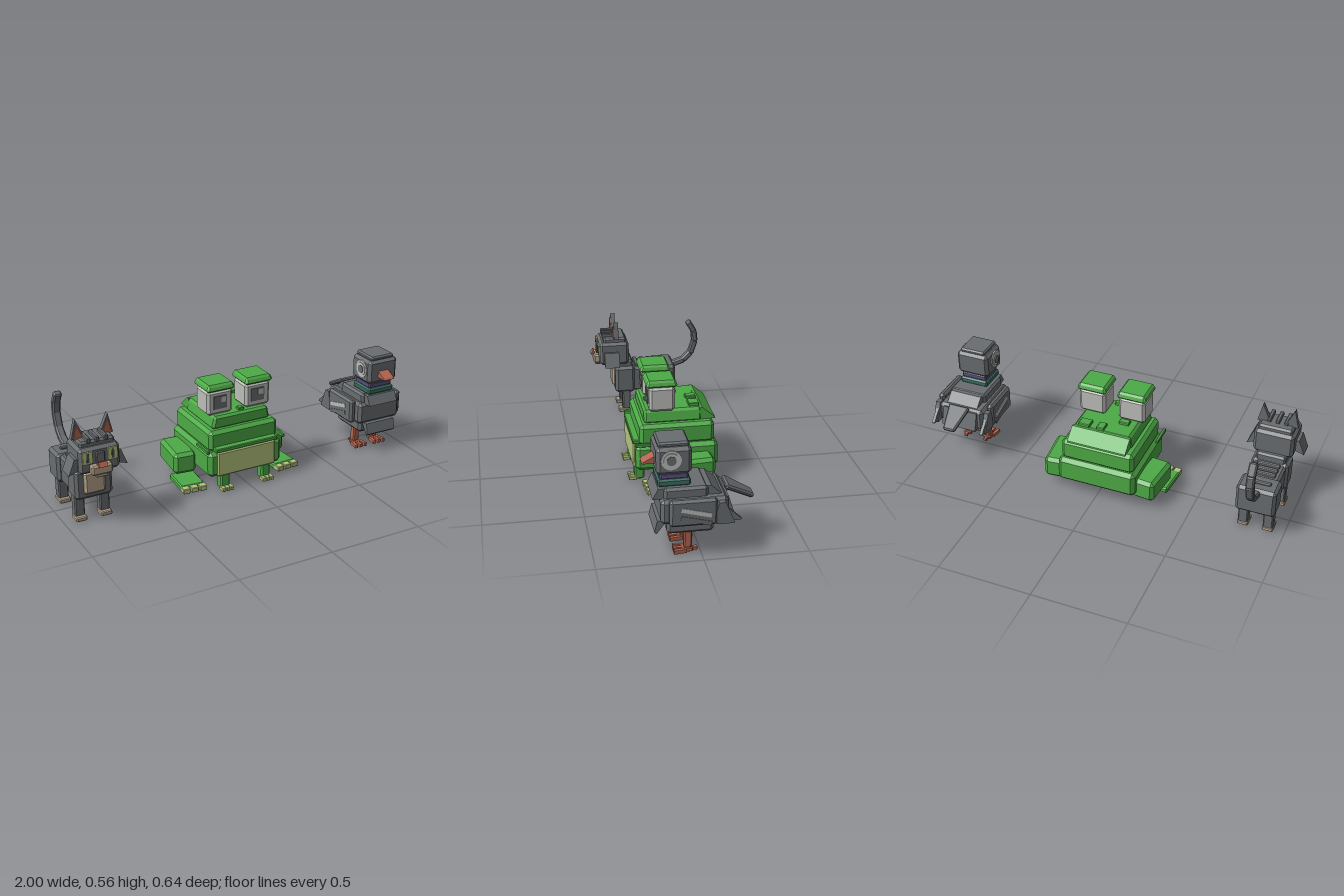
import * as THREE from 'three';
import { ConvexGeometry } from 'three/addons/geometries/ConvexGeometry.js';

const paint = (name, color) => Object.assign(new THREE.MeshStandardMaterial({ color }), { name });
const gray = paint('slate gray', 0x696d70);
const dark = paint('charcoal', 0x4a4d50);
const green = paint('leaf green', 0x4daa46);
const lime = paint('pale lime', 0xb6c67e);
const beige = paint('beige', 0xb8a48c);
const rust = paint('rust', 0xb4654f);
const white = paint('off white', 0xbdbdb9);
const purple = paint('purple', 0x5c5080);
const teal = paint('teal', 0x3b6d60);

const V = (x, y, z) => new THREE.Vector3(x, y, z);

function add(parent, name, mat, geo) {
  const mesh = new THREE.Mesh(geo, mat);
  mesh.name = name;
  parent.add(mesh);
  return mesh;
}

// Chamfered box centred on its own origin; the top can be narrowed by tx and tz
function chamferBox(w, h, d, c, tx = 0, tz = 0) {
  c = Math.min(c, w / 3, h / 3, d / 3);
  const pts = [];
  for (const sx of [-1, 1]) for (const sy of [-1, 1]) for (const sz of [-1, 1]) {
    const ax = w / 2 - (sy > 0 ? tx : 0), ay = h / 2, az = d / 2 - (sy > 0 ? tz : 0);
    pts.push(V(sx * ax, sy * (ay - c), sz * (az - c)),
      V(sx * (ax - c), sy * ay, sz * (az - c)),
      V(sx * (ax - c), sy * (ay - c), sz * az));
  }
  return new ConvexGeometry(pts);
}

// Block given by its ranges on the three axes
function block(parent, name, mat, [x0, x1], [y0, y1], [z0, z1], c = 0.01, tx = 0, tz = 0) {
  const m = add(parent, name, mat, chamferBox(x1 - x0, y1 - y0, z1 - z0, c, tx, tz));
  m.position.set((x0 + x1) / 2, (y0 + y1) / 2, (z0 + z1) / 2);
  return m;
}

// Prism with a convex (z, y) outline, spanning x0..x1
function wedge(parent, name, mat, outline, x0, x1) {
  return add(parent, name, mat, new ConvexGeometry(outline.flatMap(([z, y]) => [V(x0, y, z), V(x1, y, z)])));
}

// Range around a centre
const mid = (c, half) => [c - half, c + half];

function makeBird() {
  const g = new THREE.Group();
  g.name = 'bird';
  // Layered body
  block(g, 'upperBody', gray, mid(0, 0.105), [0.285, 0.345], [-0.03, 0.175], 0.012);
  wedge(g, 'upperChest', gray, [[0.165, 0.288], [0.226, 0.29], [0.218, 0.305], [0.2, 0.341], [0.165, 0.341]], -0.09, 0.09);
  wedge(g, 'upperBack', gray, [[-0.02, 0.288], [-0.1, 0.288], [-0.095, 0.297], [-0.045, 0.341], [-0.02, 0.341]], -0.09, 0.09);
  block(g, 'middleBody', gray, mid(0, 0.132), [0.175, 0.297], [-0.12, 0.193], 0.016);
  wedge(g, 'rump', gray, [[-0.11, 0.185], [-0.155, 0.19], [-0.125, 0.285], [-0.11, 0.285]], -0.1, 0.1);
  block(g, 'lowerBody', gray, mid(0, 0.105), [0.11, 0.177], [-0.058, 0.161], 0.014);
  wedge(g, 'lowerChest', gray, [[0.16, 0.178], [0.204, 0.178], [0.218, 0.12], [0.208, 0.11]], -0.09, 0.09);
  // Tail slab, narrowing to the rear
  const tail = add(g, 'tail', gray, chamferBox(0.12, 0.155, 0.024, 0.008, 0.025));
  tail.position.set(0, 0.273, -0.19);
  tail.rotation.x = -Math.PI / 2 - 0.49;
  // Neck bands and head
  block(g, 'lowerNeck', teal, mid(0, 0.08), [0.343, 0.379], [0.047, 0.199], 0.008);
  block(g, 'upperNeck', purple, mid(0, 0.073), [0.375, 0.41], [0.056, 0.19], 0.008);
  block(g, 'head', gray, mid(0, 0.092), [0.407, 0.54], [0.044, 0.208], 0.016);
  block(g, 'crown', gray, mid(0, 0.072), [0.535, 0.56], [0.054, 0.199], 0.008);
  wedge(g, 'beak', rust, [[0.2, 0.443], [0.265, 0.443], [0.258, 0.452], [0.208, 0.478], [0.2, 0.478]], -0.032, 0.032);
  for (const s of [-1, 1]) {
    // Eye discs
    [[0.047, 0.096, white], [0.036, 0.1, white], [0.022, 0.104, gray]].forEach(([r, x, mat], i) => {
      const disc = add(g, ['eyeRim', 'eyeRing', 'pupil'][i], mat, new THREE.CylinderGeometry(r, r, 0.009, 28));
      disc.rotation.z = Math.PI / 2;
      disc.position.set(s * (x - 0.0045), 0.482, 0.14);
    });
    // Wing with two rear feathers
    block(g, 'wing', gray, mid(s * 0.147, 0.019), [0.177, 0.31], [-0.063, 0.158], 0.012);
    wedge(g, 'wingFeather', gray, [[-0.058, 0.177], [-0.14, 0.177], [-0.142, 0.185], [-0.1, 0.285], [-0.07, 0.285], [-0.058, 0.24]], s * 0.134, s * 0.16);
    wedge(g, 'wingTip', gray, [[-0.1, 0.188], [-0.172, 0.188], [-0.175, 0.194], [-0.11, 0.255], [-0.1, 0.255]], s * 0.138, s * 0.154);
    // Wing stripes
    [[0.248, white], [0.207, gray]].forEach(([y, mat]) => {
      const bar = add(g, 'wingStripe', mat, new THREE.BoxGeometry(0.006, 0.021, 0.145));
      bar.position.set(s * 0.166, y, 0.037);
      bar.rotation.x = -0.26;
    });
    // Leg and toes
    block(g, 'leg', rust, mid(s * 0.061, 0.018), [0.018, 0.115], [0.04, 0.078], 0.006);
    block(g, 'foot', rust, mid(s * 0.061, 0.022), [0, 0.02], [0.035, 0.09], 0.003);
    for (const t of [-1, 0, 1]) {
      const toe = add(g, 'toe', rust, new THREE.BoxGeometry(0.017, 0.019, 0.06));
      toe.position.set(s * 0.061 + t * 0.026, 0.0095, 0.097);
      toe.rotation.y = t * 0.15;
    }
    block(g, 'backToe', rust, mid(s * 0.061, 0.01), [0, 0.017], [0.012, 0.048], 0.002);
  }
  return g;
}

function makeFrog() {
  const g = new THREE.Group();
  g.name = 'frog';
  // Stepped body
  block(g, 'lowerBody', green, mid(0, 0.215), [0.077, 0.217], [-0.23, 0.2], 0.02);
  block(g, 'middleBody', green, mid(0, 0.2), [0.21, 0.325], [-0.212, 0.178], 0.018);
  block(g, 'upperBody', green, mid(0, 0.168), [0.32, 0.392], [-0.15, 0.15], 0.012, 0.01);
  wedge(g, 'upperBack', green, [[-0.14, 0.327], [-0.222, 0.327], [-0.22, 0.336], [-0.155, 0.39], [-0.14, 0.39]], -0.16, 0.16);
  block(g, 'belly', lime, mid(0, 0.17), [0.082, 0.219], [0.18, 0.21], 0.008);
  block(g, 'mouth', green, mid(0, 0.18), [0.219, 0.24], [0.17, 0.212], 0.004);
  // Warts on the back
  for (const [x, z, w, d] of [[-0.085, -0.035, 0.055, 0.035], [0.01, -0.115, 0.04, 0.055], [0.1, -0.115, 0.062, 0.055]])
    block(g, 'wart', green, mid(x, w / 2), [0.385, 0.407], mid(z, d / 2), 0.003);
  block(g, 'snout', green, mid(0.01, 0.016), [0.385, 0.407], [0.1, 0.13], 0.003);
  for (const s of [-1, 1]) {
    // Eyes with lids
    const x = s * 0.11;
    block(g, 'eye', white, mid(x, 0.073), [0.39, 0.523], [-0.008, 0.125], 0.014);
    block(g, 'lid', green, mid(x, 0.08), [0.523, 0.56], [-0.02, 0.14], 0.01, 0.006, 0.006);
    const pupil = add(g, 'pupil', gray, new THREE.BoxGeometry(0.076, 0.07, 0.008));
    pupil.position.set(x - 0.003, 0.46, 0.126);
    const glint = add(g, 'glint', white, new THREE.BoxGeometry(0.03, 0.03, 0.006));
    glint.position.set(x + 0.013, 0.474, 0.129);
    block(g, 'mouthCorner', green, mid(s * 0.222, 0.008), [0.22, 0.238], [0.08, 0.205], 0.003);
    // Front leg and toes
    block(g, 'frontLeg', green, mid(s * 0.12, 0.027), [0, 0.09], [0.148, 0.2], 0.008);
    for (const t of [-1, 0, 1])
      block(g, 'frontToe', lime, mid(s * 0.12 + t * 0.023, 0.01), [0, 0.02], [0.19, 0.23], 0.002);
    // Haunch, splayed outward
    const haunch = add(g, 'haunch', green, chamferBox(0.125, 0.118, 0.235, 0.018));
    haunch.position.set(s * 0.257, 0.109, -0.078);
    haunch.rotation.y = s * 0.1;
    // Hind foot and toes
    const foot = new THREE.Group();
    foot.name = 'hindFoot';
    foot.position.set(s * 0.27, 0, 0.05);
    foot.rotation.y = s * 0.08;
    block(foot, 'sole', green, mid(0, 0.066), [0, 0.033], [-0.085, 0.085], 0.007);
    for (const t of [-1, 0, 1])
      block(foot, 'hindToe', lime, mid(t * 0.046, 0.02), [0.003, 0.03], [0.075, 0.117], 0.003);
    g.add(foot);
  }
  return g;
}

function makeCat() {
  const g = new THREE.Group();
  g.name = 'cat';
  // Body
  block(g, 'rump', gray, mid(0, 0.103), [0.125, 0.28], [-0.17, -0.04], 0.015);
  block(g, 'waist', gray, mid(0, 0.085), [0.13, 0.275], [-0.06, 0.09], 0.012);
  block(g, 'chest', gray, mid(0, 0.098), [0.125, 0.285], [0.07, 0.185], 0.015);
  block(g, 'bib', beige, mid(0, 0.056), [0.155, 0.275], [0.165, 0.2], 0.012);
  block(g, 'neck', gray, mid(0, 0.078), [0.27, 0.32], [0.08, 0.19], 0.01);
  for (const z of [-0.105, -0.025, 0.015, 0.055])
    block(g, 'backStripe', gray, mid(0, 0.06), [0.265, 0.29], mid(z, 0.012), 0.004);
  // Head
  block(g, 'head', gray, mid(0, 0.105), [0.305, 0.44], [0.105, 0.274], 0.015);
  block(g, 'crown', gray, mid(0, 0.09), [0.43, 0.466], [0.12, 0.25], 0.01);
  for (const x of [-0.045, 0, 0.045])
    block(g, 'foreheadStripe', gray, mid(x, 0.01), [0.455, 0.483], [0.16, 0.256], 0.004);
  block(g, 'muzzle', beige, mid(0, 0.054), [0.305, 0.355], [0.265, 0.306], 0.008);
  block(g, 'chin', beige, mid(0, 0.03), [0.289, 0.31], [0.265, 0.296], 0.003);
  wedge(g, 'nose', rust, [[0.3, 0.35], [0.32, 0.35], [0.307, 0.373], [0.3, 0.373]], -0.022, 0.022);
  block(g, 'bridge', gray, mid(0, 0.022), [0.35, 0.415], [0.26, 0.288], 0.004);
  for (const s of [-1, 1]) {
    const eye = add(g, 'eye', lime, new THREE.BoxGeometry(0.05, 0.062, 0.009));
    eye.position.set(s * 0.064, 0.393, 0.277);
    const slit = add(g, 'pupil', dark, new THREE.BoxGeometry(0.013, 0.046, 0.005));
    slit.position.set(s * 0.064, 0.393, 0.281);
    // Ear with a coloured inside
    const ear = (name, mat, k, z0, z1) => add(g, name, mat, new ConvexGeometry([z0, z1].flatMap(z =>
      [V(s * (0.072 - 0.035 * k), 0.46, z), V(s * (0.072 + 0.035 * k), 0.46, z), V(s * (0.077 + 0.006 * k), 0.468 + 0.092 * k, z)])));
    ear('ear', gray, 1, 0.165, 0.19);
    ear('innerEar', rust, 0.75, 0.189, 0.196);
    // Cheek tuft
    add(g, 'cheekTuft', gray, new ConvexGeometry([0.165, 0.25].flatMap(z =>
      [V(s * 0.095, 0.385, z), V(s * 0.12, 0.385, z), V(s * 0.152, 0.305, z), V(s * 0.095, 0.325, z)])));
    // Legs and paws
    [[0.121, 0.024], [-0.1, 0.027]].forEach(([z, half], i) => {
      block(g, ['frontLeg', 'hindLeg'][i], gray, mid(s * 0.066, 0.026), [0.018, 0.15], mid(z, half), 0.006);
      block(g, 'paw', beige, mid(s * 0.066, 0.029), [0, 0.024], [z - half, z + half + 0.022], 0.005);
    });
  }
  // Curled tail of straight links, as (z, y) joints
  const joints = [[-0.15, 0.25], [-0.232, 0.278], [-0.275, 0.32], [-0.3, 0.395], [-0.294, 0.455], [-0.26, 0.513]];
  for (let i = 1; i < joints.length; i++) {
    const [z0, y0] = joints[i - 1], [z1, y1] = joints[i];
    const link = add(g, 'tailLink', gray, chamferBox(0.042, Math.hypot(z1 - z0, y1 - y0) + 0.008, 0.034, 0.007));
    link.position.set(0, (y0 + y1) / 2, (z0 + z1) / 2);
    link.rotation.x = Math.atan2(z1 - z0, y1 - y0);
  }
  return g;
}

export function createModel() {
  const model = new THREE.Group();
  model.name = 'threeAnimals';
  const cat = makeCat(), frog = makeFrog(), bird = makeBird();
  cat.position.x = -0.848;
  frog.position.x = -0.01;
  bird.position.x = 0.831;
  model.add(cat, frog, bird);
  return model;
}
